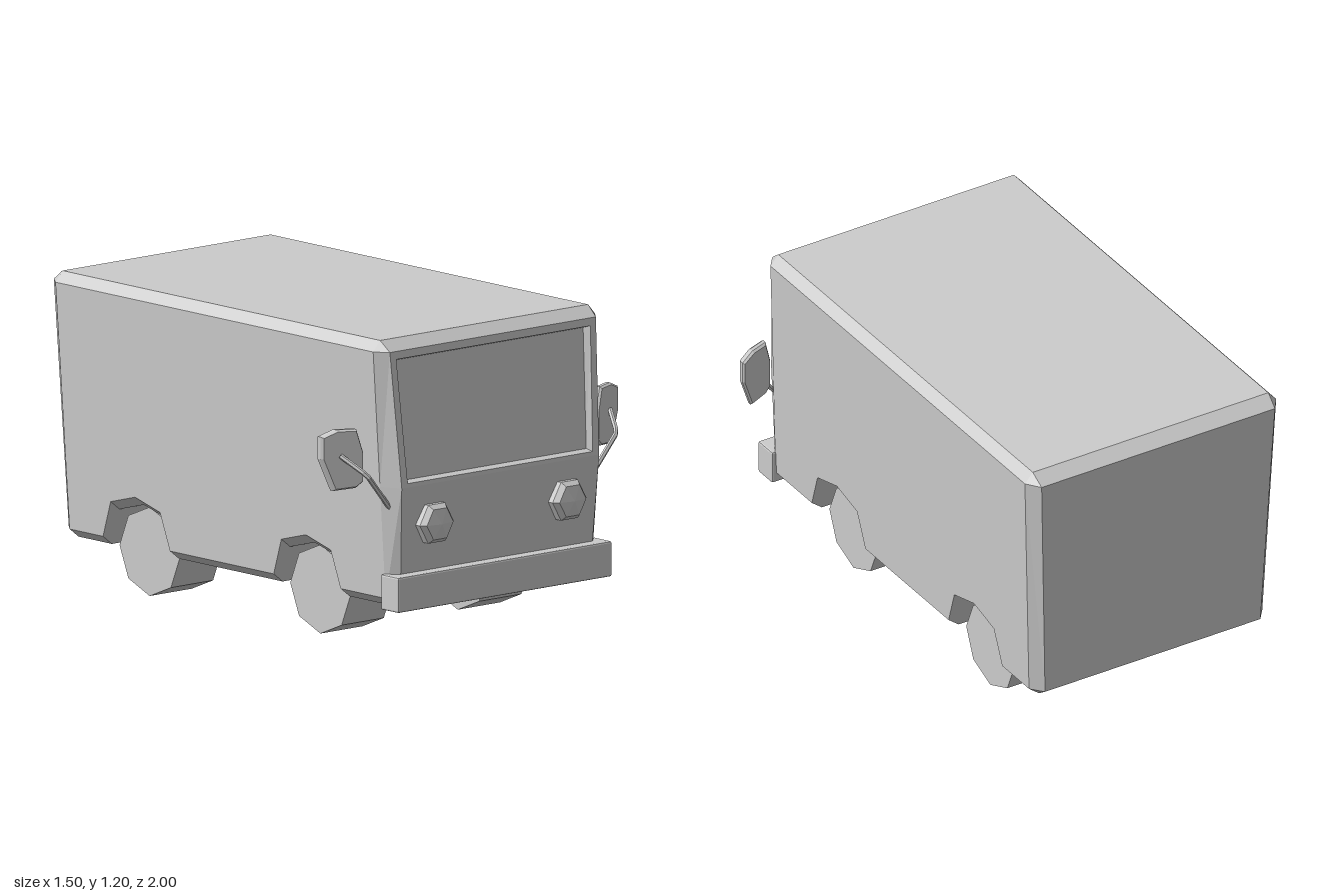
import * as THREE from 'three';
import { RoundedBoxGeometry } from 'three/addons/geometries/RoundedBoxGeometry.js';

const material = new THREE.MeshStandardMaterial({ color: 0xcccccc, flatShading: true });

function addMesh(parent, name, geometry, x = 0, y = 0, z = 0) {
  const mesh = new THREE.Mesh(geometry, material);
  mesh.name = name;
  mesh.position.set(x, y, z);
  parent.add(mesh);
  return mesh;
}

// Collects faces that are mirrored across x = 0
function mirroredFaces() {
  const pos = [];
  const flip = (p) => [-p[0], p[1], p[2]];
  const tri = (a, b, c) => pos.push(...a, ...b, ...c);
  return {
    // the same polygon on both sides
    both(...pts) {
      for (let i = 1; i < pts.length - 1; i++) {
        tri(pts[0], pts[i], pts[i + 1]);
        tri(flip(pts[0]), flip(pts[i + 1]), flip(pts[i]));
      }
    },
    // one face reaching from the left side to the right side
    span(p, q) {
      tri(p, flip(p), flip(q));
      tri(p, flip(q), q);
    },
    geometry() {
      const g = new THREE.BufferGeometry();
      g.setAttribute('position', new THREE.Float32BufferAttribute(pos, 3));
      g.computeVertexNormals();
      return g;
    },
  };
}

const SILL = 0.21, BELT = 0.64, EAVE = 1.16, ROOF = 1.2;
const drop = (y) => (EAVE - y) / (EAVE - SILL); // 0 at the eave, 1 at the sill
const halfWidth = (y) => 0.56 - 0.04 * drop(y);
const frontZ = (y) => (y > BELT
  ? THREE.MathUtils.mapLinear(y, EAVE, BELT, 0.91, 0.953)
  : THREE.MathUtils.mapLinear(y, BELT, SILL, 0.953, 0.925));

function bodyGeometry() {
  const f = mirroredFaces();
  const front = (y) => [halfWidth(y) - 0.04, y, frontZ(y)];
  const back = (y) => [halfWidth(y) - 0.04, y, -1 + 0.04 * drop(y)];
  const frontEdge = (y) => [halfWidth(y), y, 0.86 + 0.026 * drop(y)];

  // Stations along the side: [z, lower edge], stepping over both wheel arches
  const stations = [[0.886, SILL]];
  for (const z of [0.44, -0.53]) {
    stations.push([z + 0.19, SILL], [z + 0.14, 0.352], [z, 0.39], [z - 0.14, 0.352], [z - 0.19, SILL]);
  }
  stations.push([-0.91, SILL]);
  const last = stations.length - 1;
  const rings = stations.map(([z, y], i) => {
    const top = i === 0 ? 0.86 : i === last ? -0.945 : z;
    return {
      roof: [0.525, ROOF, top],
      eave: [0.56, EAVE, top],
      sill: [halfWidth(y), y, z],
      under: [halfWidth(y) - 0.045, y - 0.035, z],
    };
  });

  // Sides, roof bevel, sill bevel and underside
  for (let i = 0; i < last; i++) {
    const a = rings[i], b = rings[i + 1];
    f.both(a.roof, a.eave, b.eave, b.roof);
    f.both(a.eave, a.sill, b.sill, b.eave);
    f.both(a.sill, a.under, b.under, b.sill);
    f.span(a.under, b.under);
  }
  const nose = rings[0], tail = rings[last];

  // Front corner posts
  f.both(front(EAVE), front(BELT), frontEdge(BELT), frontEdge(EAVE));
  f.both(front(BELT), front(SILL), frontEdge(SILL), frontEdge(BELT));
  f.both(nose.roof, front(EAVE), nose.eave);
  f.both(front(SILL), nose.under, nose.sill);

  // Rear corner posts
  f.both(tail.eave, tail.sill, back(SILL), back(EAVE));
  f.both(tail.roof, tail.eave, back(EAVE));
  f.both(tail.sill, tail.under, back(SILL));

  // Windscreen surround, reveal and recessed glass
  const frames = [
    [front(EAVE), front(BELT)],
    [[0.49, 1.13, frontZ(1.13)], [0.467, 0.655, frontZ(0.655)]],
    [[0.475, 1.122, frontZ(1.122) - 0.025], [0.457, 0.664, frontZ(0.664) - 0.025]],
  ];
  for (let i = 0; i < 2; i++) {
    const [t0, b0] = frames[i], [t1, b1] = frames[i + 1];
    f.both(t0, t1, b1, b0);
    f.span(t0, t1);
    f.span(b1, b0);
  }
  f.span(frames[2][0], frames[2][1]);

  // Nose panel, tail panel and roof
  f.span(front(BELT), front(SILL));
  f.span(front(SILL), nose.under);
  f.span(tail.under, back(SILL));
  f.span(back(SILL), back(EAVE));
  f.span(back(EAVE), tail.roof);
  f.span(tail.roof, nose.roof);
  f.span(nose.roof, front(EAVE));
  return f.geometry();
}

// Mirror head: a bevelled plate, swept back towards its outer edge
function mirrorHeadGeometry(side) {
  const outline = [[0.742, 0.84], [0.69, 0.861], [0.62, 0.859], [0.596, 0.775],
    [0.596, 0.665], [0.62, 0.646], [0.697, 0.641], [0.743, 0.76]];
  const shape = new THREE.Shape(outline.map(([x, y]) => new THREE.Vector2(side * x, y)));
  const g = new THREE.ExtrudeGeometry(shape, {
    depth: 0.016, bevelSize: 0.007, bevelThickness: 0.01, bevelSegments: 1,
  });
  const p = g.attributes.position;
  for (let i = 0; i < p.count; i++) {
    p.setZ(i, p.getZ(i) + 0.818 - 0.38 * (Math.abs(p.getX(i)) - 0.59));
  }
  g.computeVertexNormals();
  return g;
}

function mirrorArmGeometry(side) {
  const path = new THREE.CurvePath();
  const pts = [[0.5, 0.545, 0.9], [0.63, 0.7, 0.905], [0.68, 0.768, 0.81]]
    .map(([x, y, z]) => new THREE.Vector3(side * x, y, z));
  path.add(new THREE.LineCurve3(pts[0], pts[1]));
  path.add(new THREE.LineCurve3(pts[1], pts[2]));
  return new THREE.TubeGeometry(path, 12, 0.01, 6);
}

export function createModel() {
  const van = new THREE.Group();
  van.name = 'van';

  addMesh(van, 'body', bodyGeometry());
  addMesh(van, 'frontBumper', new RoundedBoxGeometry(1.08, 0.136, 0.1, 1, 0.007), 0, 0.237, 0.93);

  // Eight-sided wheels
  const wheel = new THREE.CylinderGeometry(0.171, 0.171, 0.213, 8).rotateZ(Math.PI / 2);
  // Six-sided lamp with a bevelled rim and a shallow pointed lens
  const lamp = new THREE.LatheGeometry(
    [[0, 0], [0.085, 0], [0.085, 0.03], [0.067, 0.05], [0, 0.062]].map(([r, h]) => new THREE.Vector2(r, h)), 6,
  ).rotateY(Math.PI / 2).rotateX(Math.PI / 2);

  for (const [side, label] of [[1, 'left'], [-1, 'right']]) {
    addMesh(van, `${label}FrontWheel`, wheel, side * 0.347, 0.171, 0.44);
    addMesh(van, `${label}RearWheel`, wheel, side * 0.347, 0.171, -0.53);
    addMesh(van, `${label}Headlight`, lamp, side * 0.335, 0.488, 0.938);
    const mirror = new THREE.Group();
    mirror.name = `${label}Mirror`;
    addMesh(mirror, 'mirrorHead', mirrorHeadGeometry(side));
    addMesh(mirror, 'mirrorArm', mirrorArmGeometry(side));
    van.add(mirror);
  }
  return van;
}
